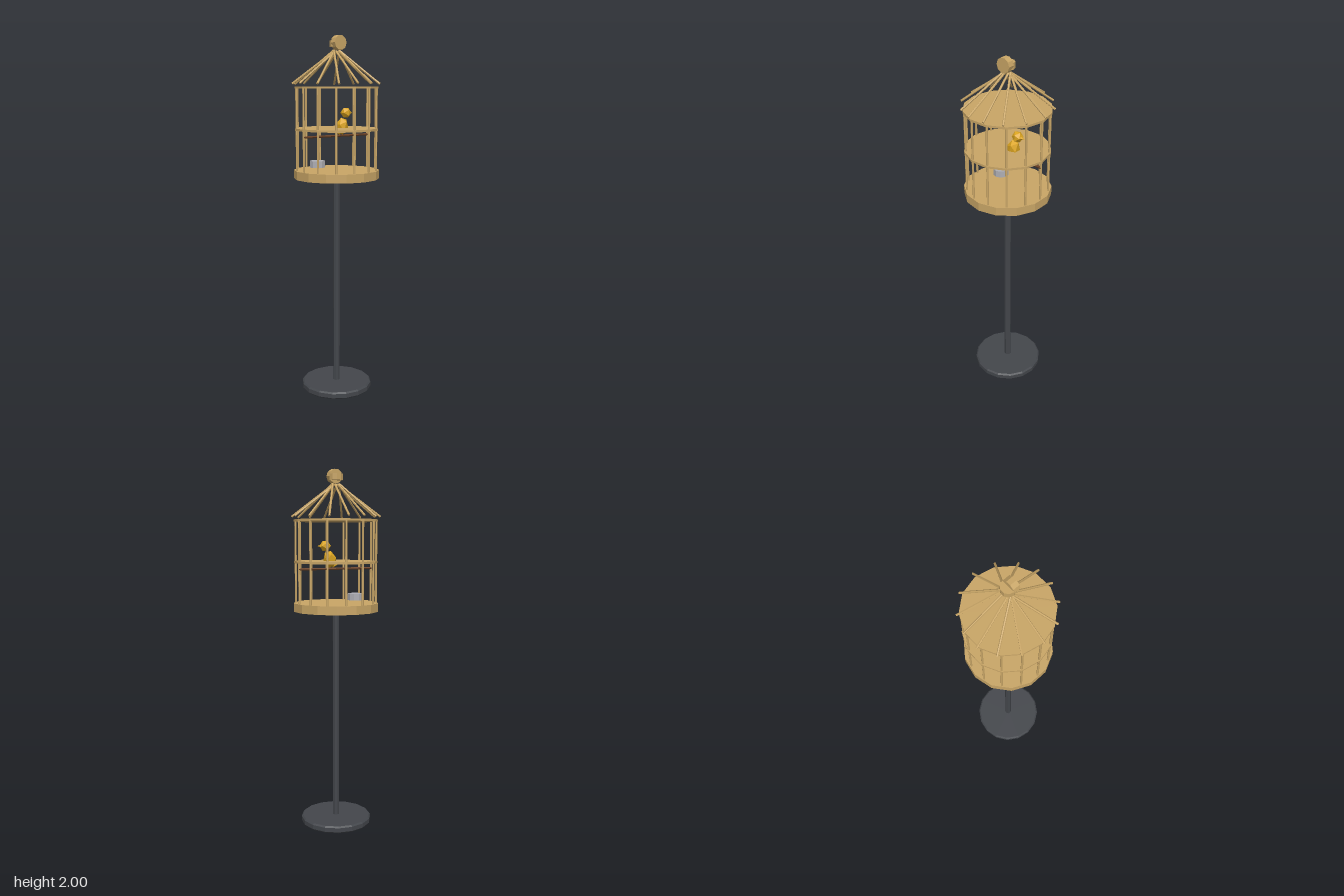
import * as THREE from 'three';

const mat = (color) => new THREE.MeshStandardMaterial({ color, flatShading: true });

export function createModel() {
  const model = new THREE.Group();
  const brass = mat(0xc8a566), iron = mat(0x43464b), gold = mat(0xdca520);
  const wood = mat(0x6b4226), tin = mat(0xaeaeb4);

  const add = (name, geometry, material, x = 0, y = 0, z = 0, parent = model) => {
    const mesh = new THREE.Mesh(geometry, material);
    mesh.name = name;
    mesh.position.set(x, y, z);
    parent.add(mesh);
    return mesh;
  };
  const disc = (r, h, sides, turn = 0) => new THREE.CylinderGeometry(r, r, h, sides).rotateY(turn);

  // Stand: bevelled foot and pole
  const foot = [[0, 0], [0.192, 0], [0.2, 0.008], [0.2, 0.032], [0.192, 0.04], [0, 0.04]];
  add('foot', new THREE.LatheGeometry(foot.map(([x, y]) => new THREE.Vector2(x, y)), 16), iron);
  add('pole', disc(0.019, 1.2, 8), iron, 0, 0.635, 0);

  // Cage floor and the two thin plates
  const COUNT = 14;
  add('cageFloor', disc(0.237, 0.047, COUNT), brass, 0, 1.252, 0);
  for (const [name, y] of [['middlePlate', 1.5], ['topPlate', 1.725]]) {
    add(name, disc(0.231, 0.012, COUNT, Math.PI / COUNT), brass, 0, y, 0);
  }

  // Upright bars and sloping roof bars
  const bars = new THREE.Group();
  bars.name = 'bars';
  model.add(bars);
  const up = new THREE.Vector3(0, 1, 0), tilt = 0.95;
  for (let i = 0; i < COUNT; i++) {
    const a = (i / COUNT) * Math.PI * 2, c = Math.cos(a), s = Math.sin(a);
    add('uprightBar', disc(0.006, 0.46, 6), brass, 0.222 * c, 1.5, 0.222 * s, bars);
    const roof = add('roofBar', disc(0.006, 0.29, 6), brass, 0.127 * c, 1.832, 0.127 * s, bars);
    const tx = tilt * c, tz = tilt * s;
    const slope = new THREE.Vector3(Math.cos(tz) * Math.sin(tx), -Math.cos(tx) * Math.cos(tz), Math.sin(tz));
    roof.quaternion.setFromUnitVectors(up, slope.normalize());
  }

  // Finial: upright disc in front, flat disc behind
  add('finialFront', disc(0.04, 0.037, 10, Math.PI / 10).rotateX(Math.PI / 2), brass, 0, 1.962, 0.0185);
  add('finialBack', disc(0.038, 0.034, 10, Math.PI / 10), brass, 0, 1.957, 0);

  // Perch and feeding cup
  add('perch', disc(0.007, 0.45, 6).rotateZ(Math.PI / 2), wood, 0, 1.463, 0);
  add('feedingCup', disc(0.043, 0.037, 10), tin, -0.093, 1.309, -0.053);

  // Bird facing +x
  const bird = new THREE.Group();
  bird.name = 'bird';
  model.add(bird);
  const body = add('body', new THREE.IcosahedronGeometry(0.04, 0), gold, 0.038, 1.515, 0, bird);
  body.scale.set(0.92, 1.25, 0.92);
  body.rotation.z = -0.3;
  add('head', new THREE.IcosahedronGeometry(0.031, 0), gold, 0.066, 1.588, 0, bird);
  add('beak', new THREE.ConeGeometry(0.012, 0.03, 5).rotateZ(-Math.PI / 2), gold, 0.098, 1.587, 0, bird);
  const tail = add('tail', new THREE.ConeGeometry(0.018, 0.06, 5).rotateZ(Math.PI / 2), gold, -0.008, 1.493, 0, bird);
  tail.rotation.z = -0.25;

  return model;
}
